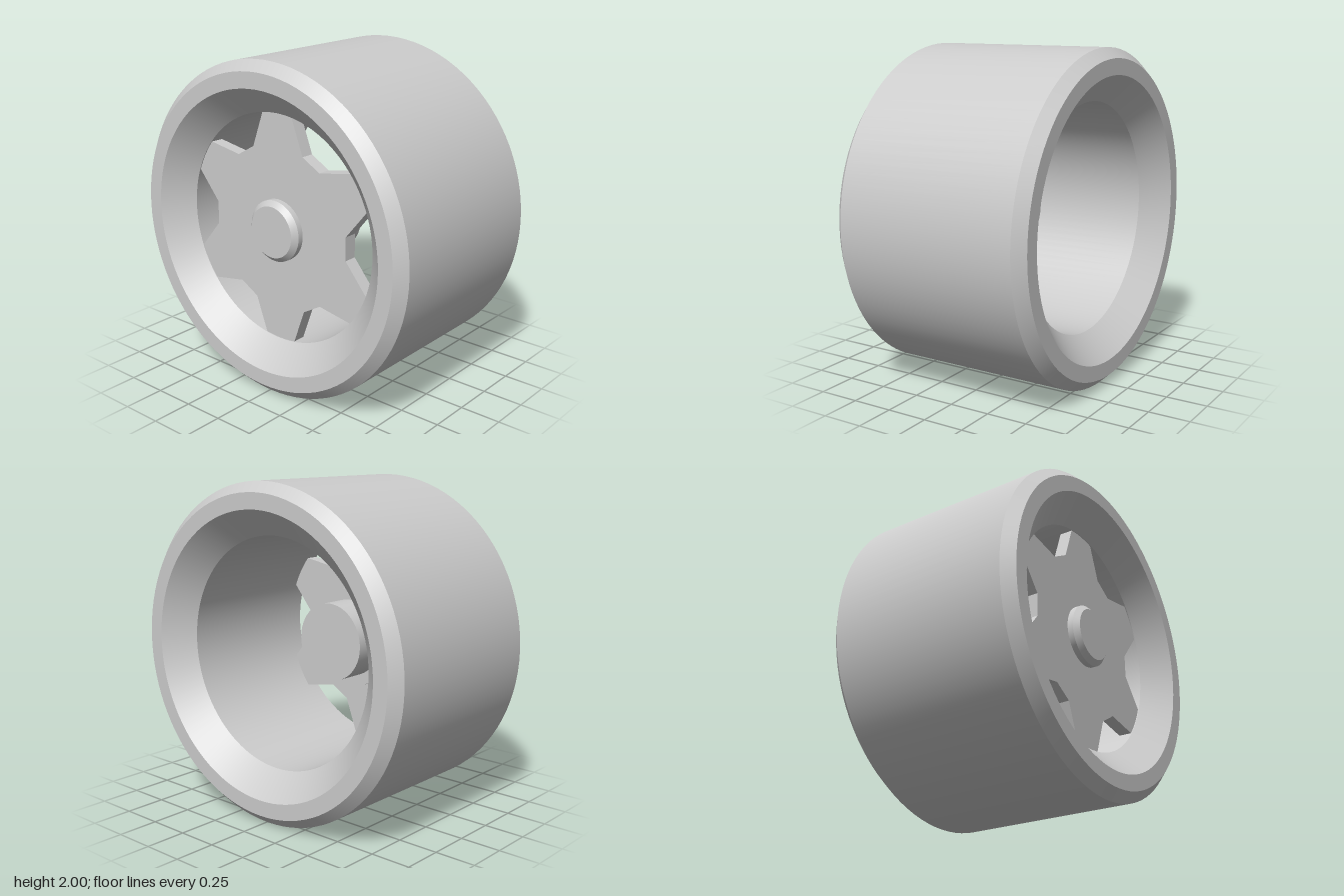
import * as THREE from 'three';
import { toCreasedNormals } from 'three/addons/utils/BufferGeometryUtils.js';

const material = new THREE.MeshStandardMaterial({ color: 0xcccccc });

function addPart(group, name, geometry) {
  const mesh = new THREE.Mesh(geometry, material);
  mesh.name = name;
  group.add(mesh);
}

// Revolves [radius, z] points about the z axis, keeping profile corners sharp.
function revolve(profile, segments) {
  const points = profile.map(([r, z]) => new THREE.Vector2(r, z));
  const geometry = new THREE.LatheGeometry(points, segments).rotateX(Math.PI / 2);
  return toCreasedNormals(geometry, 0.5);
}

export function createModel() {
  const wheel = new THREE.Group();
  wheel.name = 'wheel';

  // Tyre: bevelled outer edges, conical lips and a straight inner bore
  addPart(wheel, 'tyre', revolve([
    [0.69, -0.47], [0.845, -0.625], [0.94, -0.625], [1, -0.562],
    [1, 0.562], [0.94, 0.625], [0.845, 0.625], [0.69, 0.47], [0.69, -0.47],
  ], 96));

  // Spokes: six tapering arms that sink slightly into the bore
  const spokes = new THREE.Shape();
  const corners = [[0.5, -0.07], [0.5, 0.07]];
  const tip = [[0.71, -0.1], [0.71, 0.1]];
  for (let i = 0; i < 12; i++) {
    const angle = (i * Math.PI) / 6;
    for (const [x, y] of i % 2 ? tip : corners) {
      const px = x * Math.cos(angle) - y * Math.sin(angle);
      const py = x * Math.sin(angle) + y * Math.cos(angle);
      if (i === 0 && y < 0) spokes.moveTo(px, py);
      else spokes.lineTo(px, py);
    }
  }
  spokes.closePath();
  const plate = new THREE.ExtrudeGeometry(spokes, { depth: 0.08, bevelEnabled: false });
  addPart(wheel, 'spokes', plate.translate(0, 0, 0.385));

  // Hub cap on the outer face, with a bevelled rim
  addPart(wheel, 'hubCap', revolve([
    [0, 0.45], [0.185, 0.45], [0.185, 0.5], [0.155, 0.53], [0, 0.53],
  ], 48));

  // Stepped axle mount behind the spokes
  addPart(wheel, 'axleMount', revolve([
    [0, 0], [0.24, 0], [0.24, 0.19], [0.31, 0.19], [0.31, 0.4], [0, 0.4],
  ], 48));

  // Stand the wheel on the ground
  for (const part of wheel.children) part.position.y = 1;
  return wheel;
}
